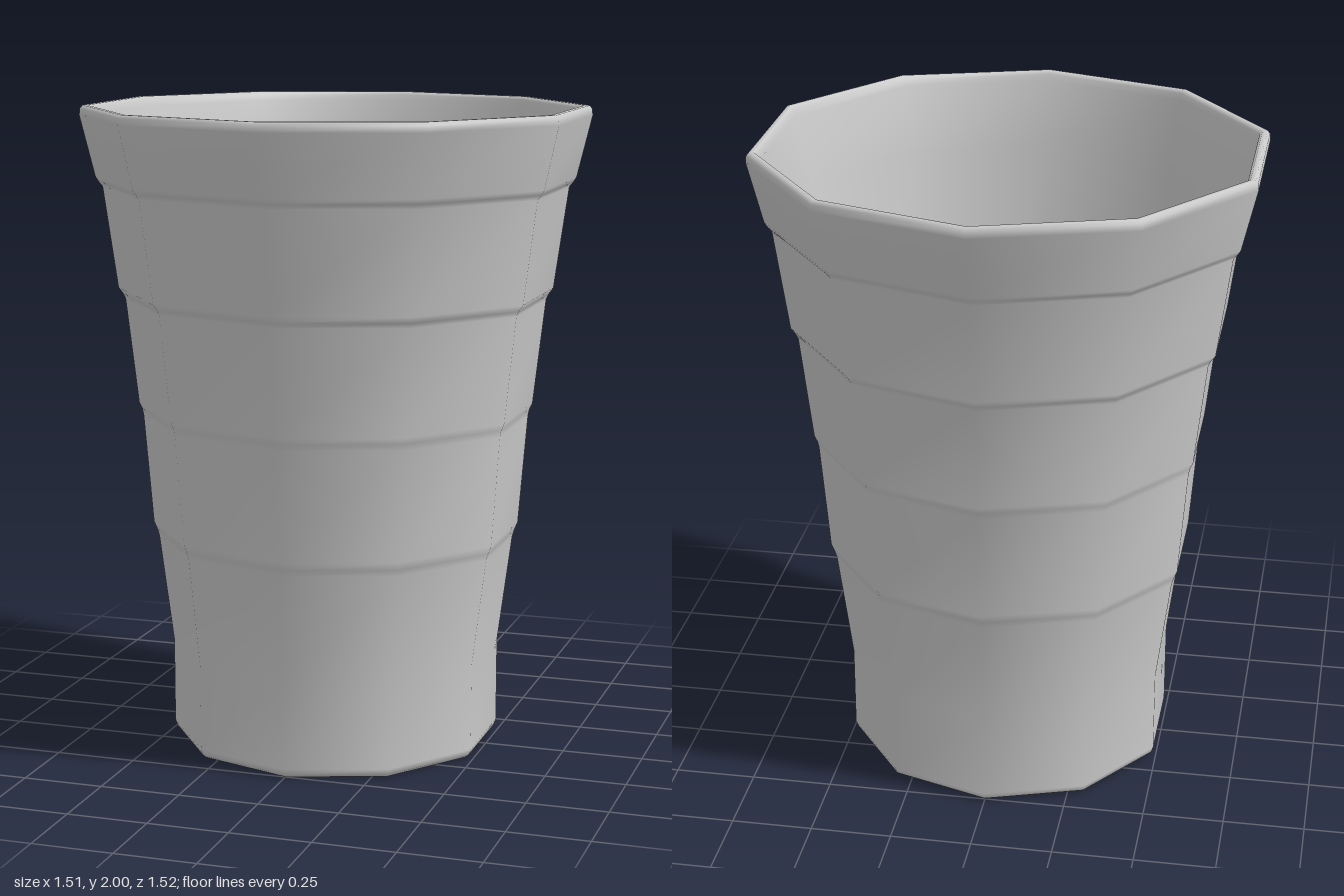
import * as THREE from 'three';
import { mergeVertices } from 'three/addons/utils/BufferGeometryUtils.js';

const SIDES = 10;

// Skins a stack of ten-sided rings, each given as [half width x, half depth z, y]
function skin(rings) {
  const pos = [], index = [];
  const toCorner = 1 / Math.cos(Math.PI / 10); // side corners sit 18 degrees off the x axis
  rings.forEach(([hx, hz, y], i) => {
    for (let j = 0; j < SIDES; j++) {
      const a = (j / SIDES) * Math.PI * 2;
      pos.push(hx * toCorner * Math.sin(a), y, hz * Math.cos(a));
      if (i === rings.length - 1) continue;
      const k = (j + 1) % SIDES;
      const p = i * SIDES + j, q = i * SIDES + k, r = q + SIDES, s = p + SIDES;
      if (hx > 0) index.push(p, q, r);
      if (rings[i + 1][0] > 0) index.push(p, r, s);
      else if (hx > 0) continue;
      else index.push(p, r, s);
    }
  });
  let geo = new THREE.BufferGeometry();
  geo.setAttribute('position', new THREE.Float32BufferAttribute(pos, 3));
  geo.setIndex(index);
  geo = mergeVertices(geo, 1e-5);
  geo.computeVertexNormals();
  return geo;
}

export function createModel() {
  const group = new THREE.Group();
  const material = new THREE.MeshStandardMaterial({ color: 0xcccccc });
  const add = (name, rings) => {
    const mesh = new THREE.Mesh(skin(rings), material);
    mesh.name = name;
    group.add(mesh);
  };

  // Stepped outer wall, rounded rim, smooth inner wall and floor in one surface
  add('cupWall', [
    [0.472, 0.498, 0],
    [0.485, 0.511, 0.01],
    [0.492, 0.518, 0.03],
    [0.492, 0.519, 0.297],
    [0.536, 0.540, 0.64],
    [0.542, 0.545, 0.66],
    [0.552, 0.553, 0.685],
    [0.578, 0.584, 1.03],
    [0.582, 0.588, 1.05],
    [0.591, 0.595, 1.07],
    [0.627, 0.631, 1.40],
    [0.634, 0.637, 1.415],
    [0.648, 0.649, 1.435],
    [0.690, 0.692, 1.75],
    [0.702, 0.703, 1.765],
    [0.711, 0.712, 1.78],
    [0.755, 0.760, 1.97],
    [0.753, 0.757, 1.99],
    [0.745, 0.748, 2.0],
    [0.730, 0.738, 2.0],
    [0.722, 0.730, 1.99],
    [0.718, 0.726, 1.97],
    [0.672, 0.675, 1.77],
    [0.455, 0.480, 0.28],
    [0.450, 0.475, 0.06],
    [0, 0, 0.05],
  ]);

  // Flat underside
  add('base', [
    [0, 0, 0],
    [0.472, 0.498, 0],
  ]);
  return group;
}
